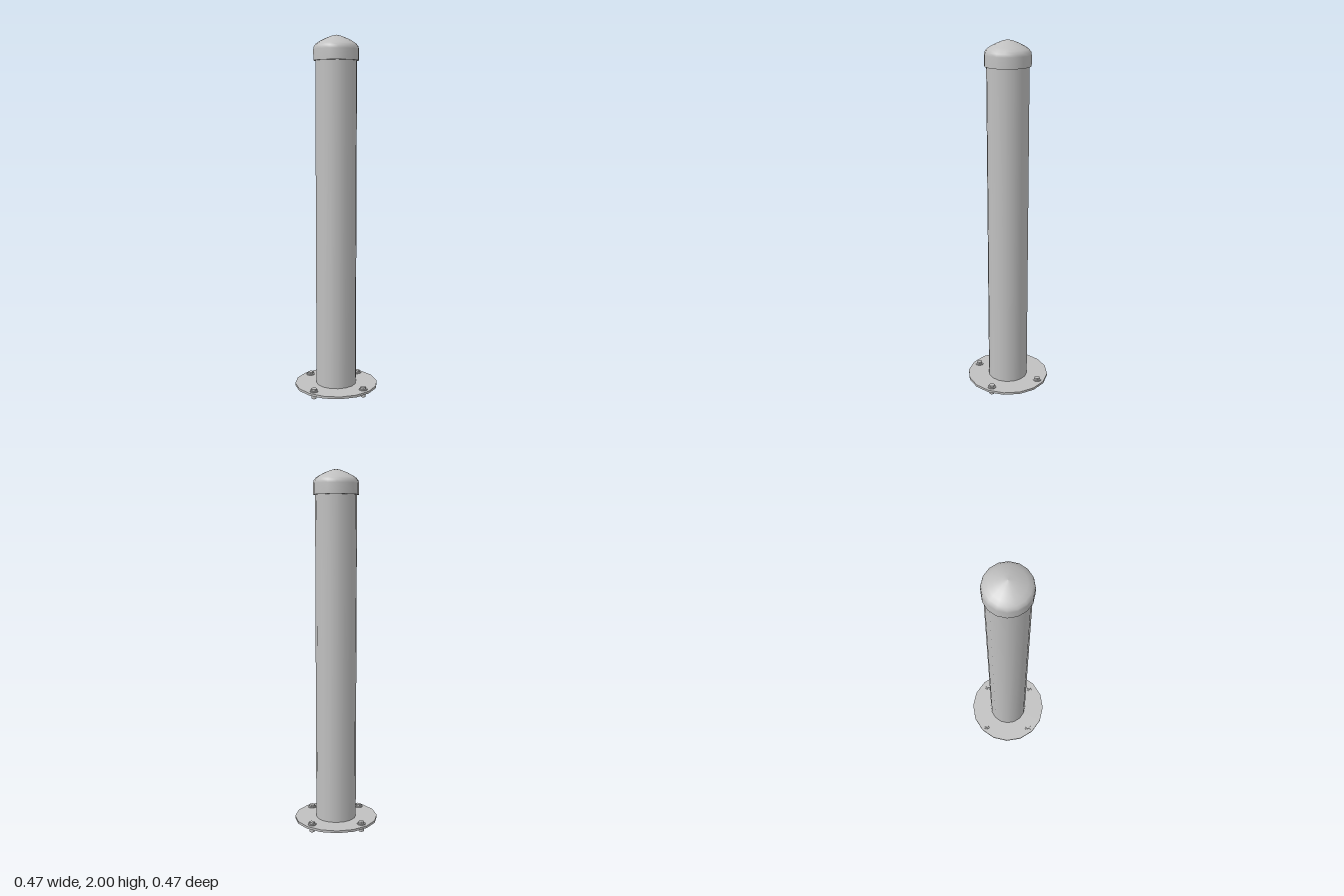
import * as THREE from 'three';

const SIDES = 16;

export function createModel() {
  const model = new THREE.Group();
  model.name = 'bollard';

  const steel = new THREE.MeshStandardMaterial({ color: 0xc0c0c0 });
  steel.name = 'grey steel';

  // Upright cylinder between two heights
  function cylinder(name, radius, bottom, top, sides, parent = model) {
    const geometry = new THREE.CylinderGeometry(radius, radius, top - bottom, sides);
    const mesh = new THREE.Mesh(sides === 6 ? flat(geometry) : geometry, steel);
    mesh.name = name;
    mesh.position.y = (bottom + top) / 2;
    parent.add(mesh);
    return mesh;
  }

  // Separate the faces so hexagons keep sharp corners
  function flat(geometry) {
    const g = geometry.toNonIndexed();
    g.computeVertexNormals();
    return g;
  }

  cylinder('basePlate', 0.236, 0.028, 0.041, SIDES);
  cylinder('post', 0.114, 0.041, 1.9, SIDES);

  // Domed cap: lip, skirt and rounded top (doubled points keep edges sharp)
  const profile = [
    [0.112, 1.863], [0.125, 1.863], [0.125, 1.863], [0.125, 1.922],
    [0.122, 1.938], [0.111, 1.952], [0.09, 1.966], [0.06, 1.981],
    [0.03, 1.993], [0, 2],
  ].map(([r, y]) => new THREE.Vector2(r, y));
  const cap = new THREE.Mesh(new THREE.LatheGeometry(profile, SIDES), steel);
  cap.name = 'cap';
  model.add(cap);

  // Four anchor bolts around the plate
  for (let i = 0; i < 4; i++) {
    const bolt = new THREE.Group();
    bolt.name = 'anchorBolt' + (i + 1);
    const angle = (i * Math.PI) / 2;
    bolt.position.set(0.196 * Math.sin(angle), 0, 0.196 * Math.cos(angle));
    bolt.rotation.y = angle;
    cylinder('shank', 0.014, 0, 0.043, 12, bolt);
    cylinder('washer', 0.0235, 0.041, 0.046, SIDES, bolt);
    cylinder('hexHead', 0.0165, 0.046, 0.057, 6, bolt);
    model.add(bolt);
  }

  return model;
}
